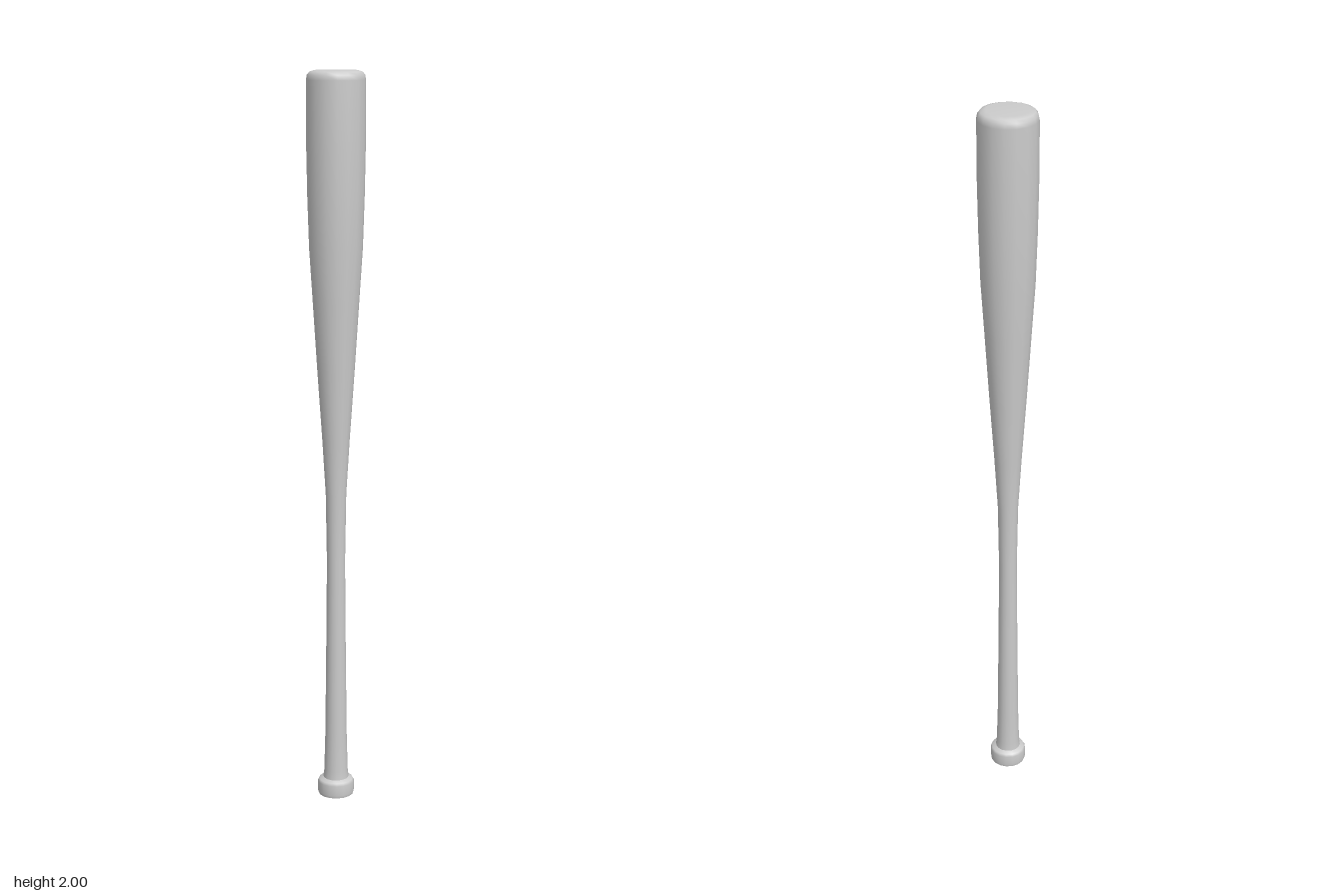
import * as THREE from 'three';

const SIDES = 16;

export function createModel() {
  const model = new THREE.Group();
  model.name = 'bat';
  const material = new THREE.MeshStandardMaterial({ color: 0xcccccc });

  // Turned part from [radius, height] pairs, bottom to top
  const turn = (name, profile) => {
    const points = profile.map(([r, y]) => new THREE.Vector2(r, y));
    const mesh = new THREE.Mesh(new THREE.LatheGeometry(points, SIDES), material);
    mesh.name = name;
    model.add(mesh);
  };

  // Knob at the foot of the handle
  turn('knob', [[0.049, 0], [0.051, 0.008], [0.051, 0.036], [0.047, 0.043], [0.034, 0.049]]);

  // Flat underside of the knob, kept separate for a crisp edge
  const base = new THREE.Mesh(new THREE.CircleGeometry(0.049, SIDES), material);
  base.rotation.x = Math.PI / 2;
  base.name = 'knobBase';
  model.add(base);

  // Handle, taper and barrel in one smooth sweep
  turn('shaft', [
    [0.036, 0.044], [0.033, 0.07], [0.030, 0.18], [0.027, 0.45], [0.025, 0.68],
    [0.028, 0.87], [0.037, 1.02], [0.050, 1.21], [0.062, 1.40], [0.071, 1.54],
    [0.0755, 1.68], [0.078, 1.82], [0.078, 1.975],
    [0.0755, 1.988], [0.069, 1.996], [0.056, 2], [0, 2],
  ]);

  return model;
}
